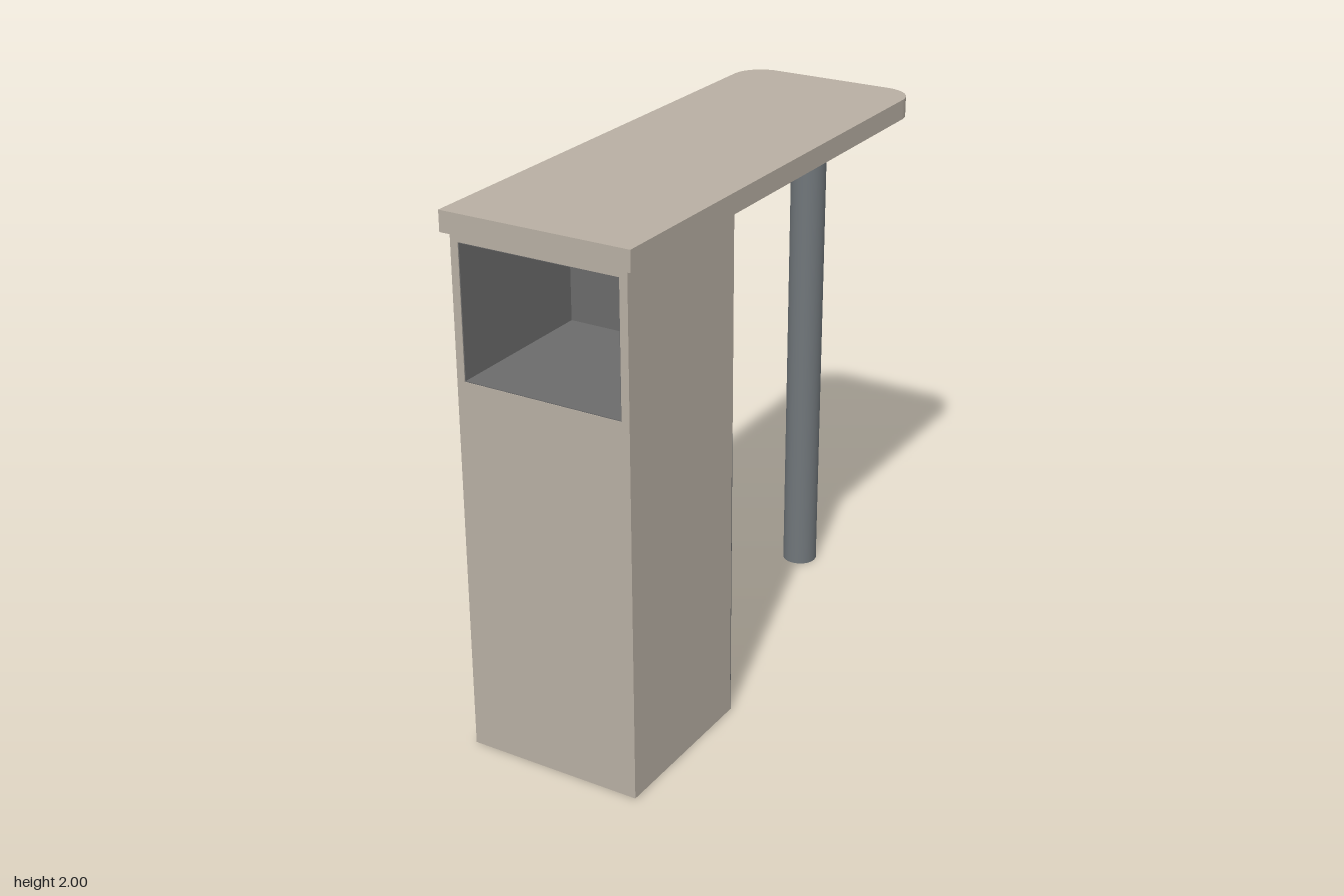
import * as THREE from 'three';

const beige = new THREE.MeshStandardMaterial({ color: 0xb8afa3 });
const grey = new THREE.MeshStandardMaterial({ color: 0x6b6b6b });
const steel = new THREE.MeshStandardMaterial({ color: 0x70767a });

const W = 0.335, FRONT = 0.98, BACK = 0.33, H = 1.925; // cabinet limits
const T = 0.03;        // board thickness
const OPEN_H = 1.115;  // top of the open shelving at the back
const EDGE = 0.004;    // grey edging on the shelving side

export function createModel() {
  const model = new THREE.Group();
  model.name = 'counterTable';

  // Box given by its limits on each axis
  const board = (name, mat, x0, x1, y0, y1, z0, z1, parent) => {
    const mesh = new THREE.Mesh(new THREE.BoxGeometry(x1 - x0, y1 - y0, z1 - z0), mat);
    mesh.position.set((x0 + x1) / 2, (y0 + y1) / 2, (z0 + z1) / 2);
    mesh.name = name;
    parent.add(mesh);
  };

  // Worktop, square at the front and rounded at the back
  const w = 0.36, r = 0.12;
  const top = new THREE.Shape();
  top.moveTo(-w, -1);
  top.lineTo(w, -1);
  top.lineTo(w, 1 - r);
  top.absarc(w - r, 1 - r, r, 0, Math.PI / 2);
  top.absarc(-w + r, 1 - r, r, Math.PI / 2, Math.PI);
  top.closePath();
  const topGeo = new THREE.ExtrudeGeometry(top, { depth: 2 - H, bevelEnabled: false, curveSegments: 10 });
  topGeo.rotateX(-Math.PI / 2);
  const worktop = new THREE.Mesh(topGeo, beige);
  worktop.position.y = H;
  worktop.name = 'worktop';
  model.add(worktop);

  // Round support leg
  const leg = new THREE.Mesh(new THREE.CylinderGeometry(0.068, 0.068, H, 32), steel);
  leg.position.set(0, H / 2, -0.828);
  leg.name = 'supportLeg';
  model.add(leg);

  // Cabinet shell
  const cabinet = new THREE.Group();
  cabinet.name = 'cabinet';
  model.add(cabinet);
  const inner = W - T, zFace = FRONT - 0.015, zLiner = FRONT - T;
  for (const s of [-1, 1]) {
    const a = s < 0 ? -W : inner, b = s < 0 ? -inner : W;
    board('sidePanel', beige, a, b, 0, OPEN_H, BACK + EDGE, zFace, cabinet);
    board('upperSidePanel', beige, a, b, OPEN_H, H, BACK, zFace, cabinet);
    board('sideEdging', grey, a, b, 0, OPEN_H, BACK, BACK + EDGE, cabinet);
  }
  board('topPanel', beige, -inner, inner, H - T + 0.005, H, BACK, zFace, cabinet);
  board('backPanel', beige, -inner, inner, OPEN_H, H - T + 0.005, BACK, BACK + 0.015, cabinet);
  board('underside', beige, -inner, inner, 0, 0.004, BACK + EDGE, zFace, cabinet);

  // Front panel with the niche opening
  const nicheY0 = 1.41, nicheY1 = 1.895;
  const face = new THREE.Shape([[-W, 0], [W, 0], [W, H], [-W, H]].map(p => new THREE.Vector2(...p)));
  face.holes.push(new THREE.Path([[-inner, nicheY0], [-inner, nicheY1], [inner, nicheY1], [inner, nicheY0]]
    .map(p => new THREE.Vector2(...p))));
  const frontPanel = new THREE.Mesh(
    new THREE.ExtrudeGeometry(face, { depth: FRONT - zFace, bevelEnabled: false }), beige);
  frontPanel.position.z = zFace;
  frontPanel.name = 'frontPanel';
  cabinet.add(frontPanel);

  // Grey lining of the front niche
  const niche = new THREE.Group();
  niche.name = 'frontNiche';
  cabinet.add(niche);
  const nz = BACK + T, lip = FRONT - 0.002, t = 0.003;
  board('nicheFloor', grey, -inner, inner, nicheY0 - T, nicheY0, nz, zFace, niche);
  board('nicheFloorLip', grey, -inner, inner, nicheY0, nicheY0 + t, nz, lip, niche);
  board('nicheCeiling', grey, -inner, inner, nicheY1 - t, nicheY1, nz, lip, niche);
  board('nicheBack', grey, -inner, inner, nicheY0 - T, nicheY1, BACK + 0.015, nz, niche);
  for (const s of [-1, 1]) {
    const x = s * (inner - t / 2);
    board('nicheSide', grey, x - t / 2, x + t / 2, nicheY0, nicheY1, nz, lip, niche);
  }

  // Open shelving at the back
  const shelving = new THREE.Group();
  shelving.name = 'backShelving';
  cabinet.add(shelving);
  board('shelvingLiner', grey, -inner, inner, 0.004, OPEN_H, zLiner, zFace, shelving);
  board('bottomShelf', grey, -inner, inner, 0.004, 0.027, BACK, zLiner, shelving);
  board('bottomEdging', grey, -inner, inner, 0, 0.004, BACK, BACK + EDGE, shelving);
  board('middleShelf', grey, -inner, inner, 0.547, 0.573, BACK, zLiner, shelving);
  board('upperShelf', grey, -inner, inner, 1.096, OPEN_H, BACK, zLiner, shelving);

  return model;
}
